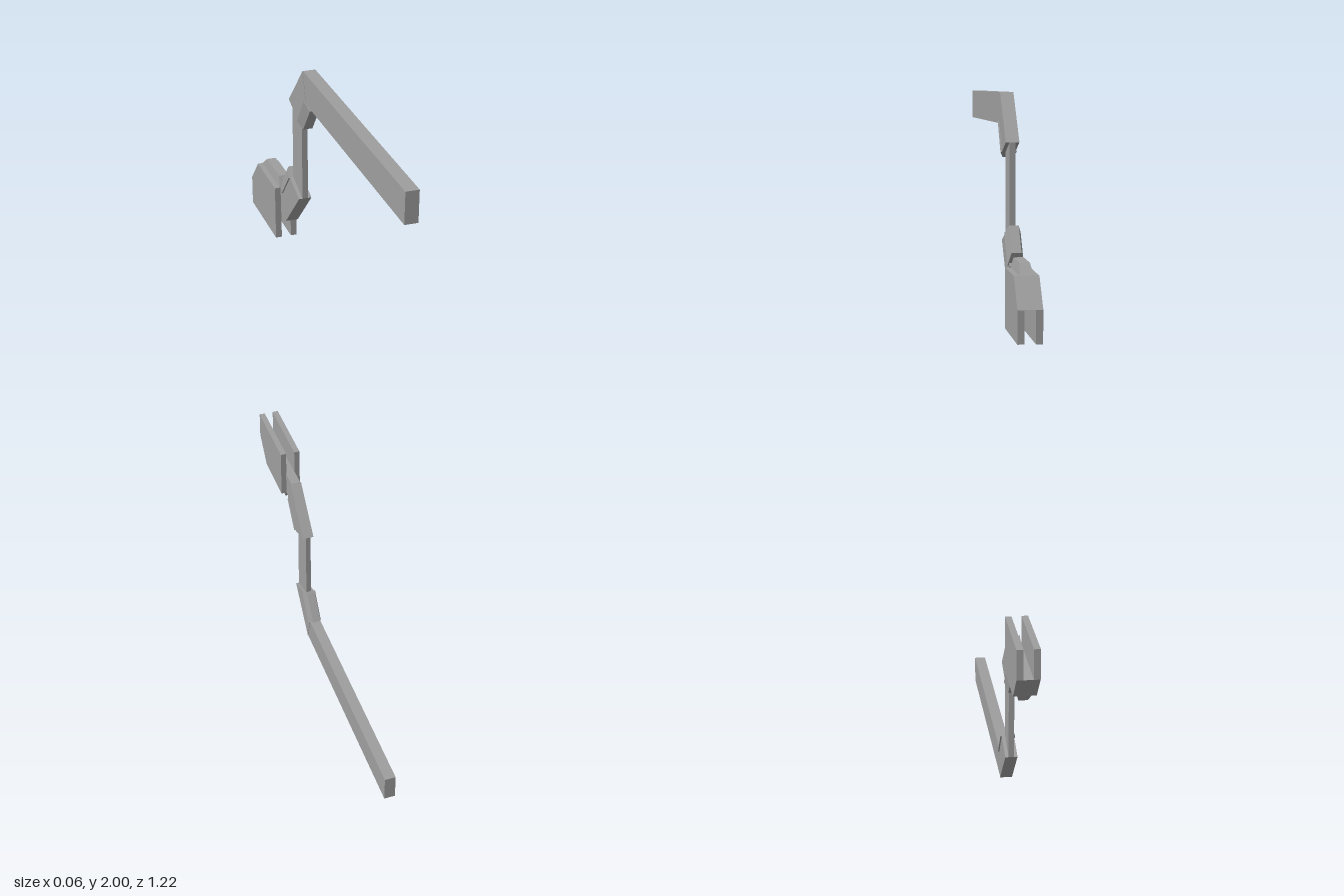
import * as THREE from 'three';

const material = new THREE.MeshStandardMaterial({ color: 0x9e9e9e, flatShading: true });

// Slab from a side outline of [z, y, optional half width]; flip mirrors it about y = 1.
function slab(name, points, half, flip, offset = 0) {
  const outline = points.map(([z, y, w = half]) => [z, flip ? 2 - y : y, w]);
  const shape = new THREE.Shape(outline.map(([z, y]) => new THREE.Vector2(z, y)));
  const geometry = new THREE.ExtrudeGeometry(shape, { depth: 1, bevelEnabled: false });
  geometry.translate(0, 0, -0.5);
  // Set the local thickness at each outline corner
  const pos = geometry.attributes.position;
  for (let i = 0; i < pos.count; i++) {
    const corner = outline.find(([z, y]) =>
      Math.abs(z - pos.getX(i)) < 1e-4 && Math.abs(y - pos.getY(i)) < 1e-4);
    pos.setZ(i, Math.sign(pos.getZ(i)) * corner[2]);
  }
  geometry.rotateY(-Math.PI / 2);
  geometry.translate(offset, 0, 0);
  geometry.computeVertexNormals();
  const mesh = new THREE.Mesh(geometry, material);
  mesh.name = name;
  return mesh;
}

function createArm(name, flip) {
  const arm = new THREE.Group();
  arm.name = name;
  const add = (part, points, half, offset) => arm.add(slab(part, points, half, flip, offset));

  // Cranked bar, from the front tip to the rear clamp
  add('longBar', [[0.61, 1.918], [-0.105, 1.918], [-0.13, 2], [0.61, 2]], 0.017);
  add('upperBend', [[-0.105, 1.918], [-0.172, 1.845], [-0.256, 1.873], [-0.13, 2]], 0.018);
  add('thinPost', [[-0.172, 1.845], [-0.172, 1.612], [-0.256, 1.64], [-0.256, 1.873]], 0.008);
  add('lowerBend', [[-0.172, 1.612], [-0.302, 1.481], [-0.335, 1.56], [-0.256, 1.64]], 0.018);
  add('clampNeck', [[-0.302, 1.481], [-0.37, 1.481], [-0.37, 1.56], [-0.335, 1.56]], 0.015);

  // Pads along the inside of each bend, narrowing outward
  add('upperPad', [[-0.11, 1.925, 0.022], [-0.085, 1.905], [-0.145, 1.83], [-0.172, 1.845, 0.022]], 0.013);
  add('lowerPad', [[-0.256, 1.638, 0.022], [-0.285, 1.66], [-0.342, 1.595], [-0.325, 1.56, 0.022]], 0.013);

  // Rear clamp: two cheeks, a filling block and a narrow ridge stepping up between them
  const cheek = [[-0.36, 1.4], [-0.605, 1.4], [-0.605, 1.485], [-0.535, 1.56], [-0.36, 1.56]];
  for (const side of [-1, 1]) add('clampCheek', cheek, 0.009, side * 0.023);
  add('clampCore', [[-0.37, 1.481], [-0.605, 1.485], [-0.535, 1.56], [-0.37, 1.56]], 0.015);
  add('clampRidge', [[-0.36, 1.56], [-0.535, 1.56], [-0.5, 1.588, 0.013], [-0.38, 1.588, 0.013]], 0.018);
  return arm;
}

export function createModel() {
  const model = new THREE.Group();
  model.name = 'crankedArms';
  model.add(createArm('upperArm', false), createArm('lowerArm', true));
  return model;
}
